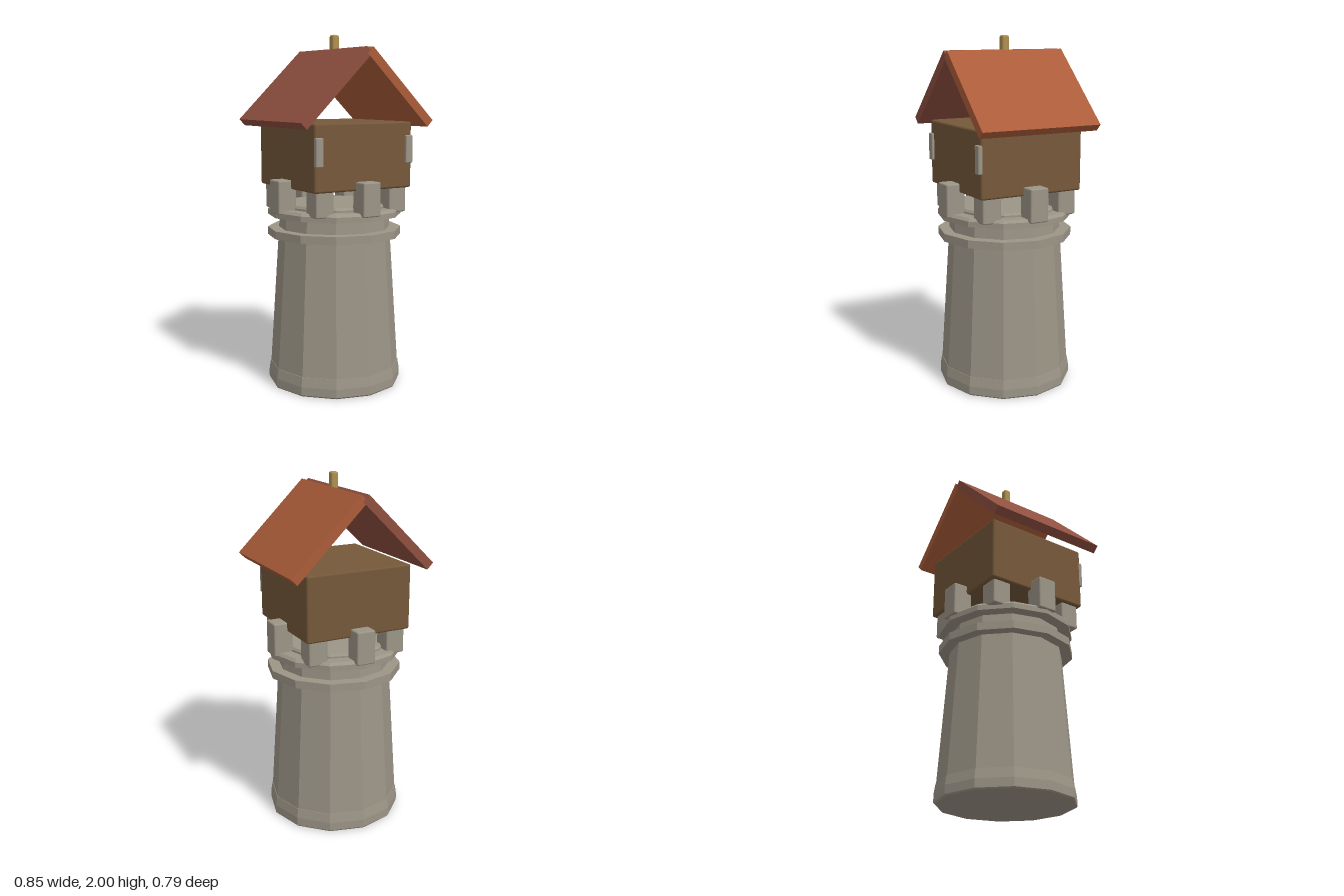
import * as THREE from 'three';
import { RoundedBoxGeometry } from 'three/addons/geometries/RoundedBoxGeometry.js';

const mat = (name, color) => {
  const m = new THREE.MeshStandardMaterial({ color });
  m.name = name;
  return m;
};

export function createModel() {
  const stone = mat('stone', 0x9c9587);
  const timber = mat('timber', 0x75583a);
  const tileRed = mat('dark roof tile', 0x8e4f3f);
  const tileOrange = mat('bright roof tile', 0xab5c3a);
  const brass = mat('brass', 0xb0904f);

  const group = new THREE.Group();
  group.name = 'watchtower';

  const add = (name, geometry, material, x = 0, y = 0, z = 0) => {
    const mesh = new THREE.Mesh(geometry, material);
    mesh.name = name;
    mesh.position.set(x, y, z);
    group.add(mesh);
    return mesh;
  };

  // Faceted twelve-sided drum from [radius, height] pairs, bottom to top, capped at both ends
  const drum = (name, profile) => {
    const pts = [[0, profile[0][1]], ...profile, [0, profile.at(-1)[1]]];
    const geo = new THREE.LatheGeometry(pts.map(([r, y]) => new THREE.Vector2(r, y)), 12).toNonIndexed();
    geo.computeVertexNormals();
    return add(name, geo, stone);
  };

  const block = (name, w, h, d, bevel, material, x, y, z) =>
    add(name, new RoundedBoxGeometry(w, h, d, 1, bevel), material, x, y, z);

  // Stone tower
  drum('plinth', [[0.378, 0], [0.385, 0.008], [0.385, 0.055], [0.376, 0.11]]);
  drum('shaft', [[0.38, 0.01], [0.315, 1.0]]);
  drum('stringCourse', [[0.385, 0.865], [0.385, 0.91]]);
  drum('parapetRing', [[0.385, 0.985], [0.385, 1.015], [0.37, 1.03]]);
  drum('walkway', [[0.305, 1.0], [0.305, 1.04], [0.295, 1.053]]);

  // Eight square merlons around the parapet
  for (let i = 0; i < 8; i++) {
    const a = (i * Math.PI) / 4;
    block('merlon', 0.112, 0.19, 0.112, 0.009, stone, 0.337 * Math.sin(a), 1.104, 0.337 * Math.cos(a));
  }

  // Timber room with two slim front shutters
  block('room', 0.63, 0.37, 0.63, 0.012, timber, 0, 1.333, 0);
  for (const s of [-1, 1]) {
    block('shutter', 0.046, 0.155, 0.04, 0.006, stone, s * 0.291, 1.365, 0.31);
  }

  // Two pitched roof slabs crossing at the ridge
  for (const s of [-1, 1]) {
    const slab = add('roofSlab', new THREE.BoxGeometry(0.566, 0.05, 0.726),
      s < 0 ? tileRed : tileOrange, s * 0.205, 1.705, 0);
    slab.rotation.z = -s * 0.775;
  }

  // Ridge finial
  block('finial', 0.044, 0.13, 0.044, 0.011, brass, 0, 1.935, 0);

  return group;
}
